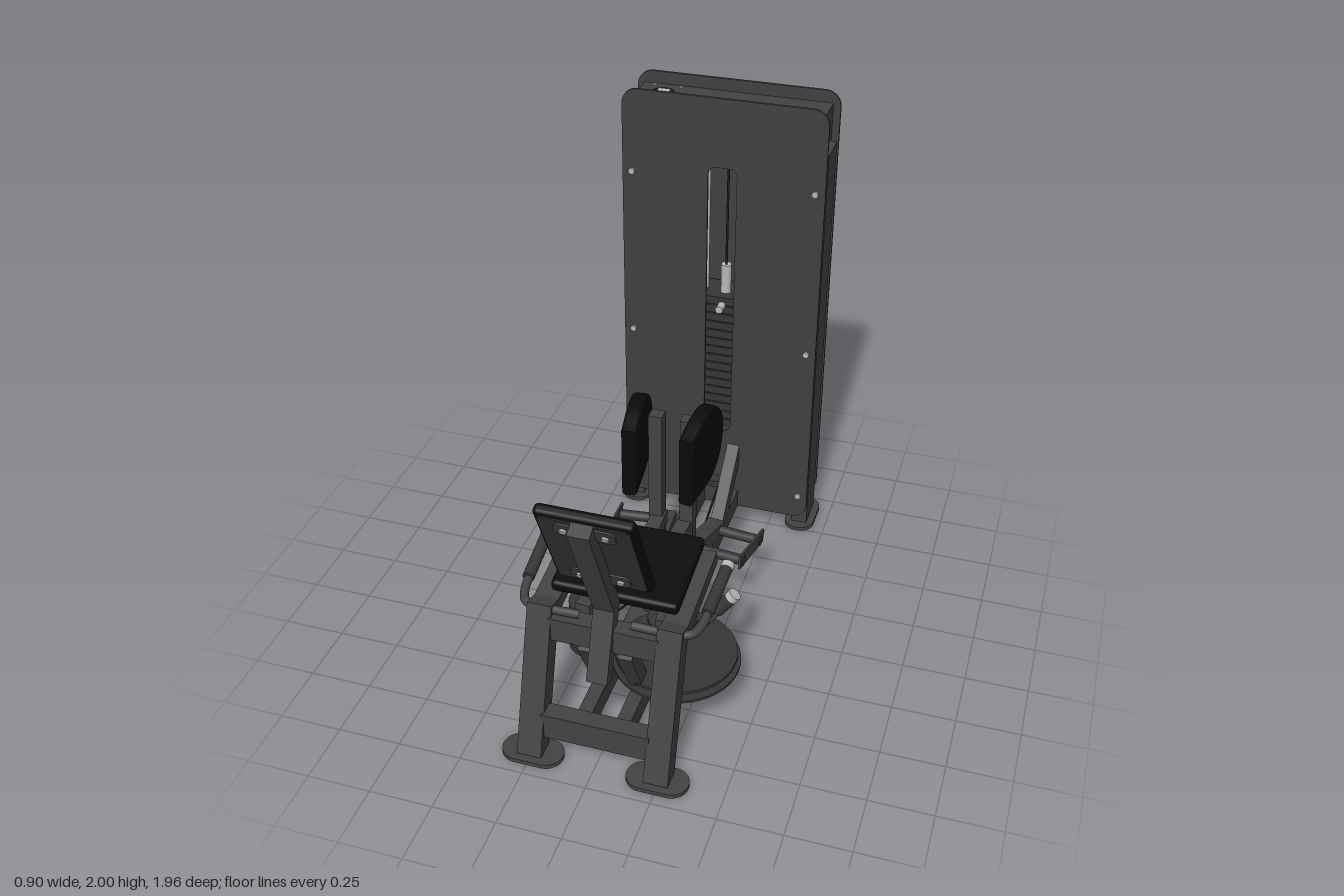
import * as THREE from 'three';
import { RoundedBoxGeometry } from 'three/addons/geometries/RoundedBoxGeometry.js';

const mat = (name, color) => Object.assign(new THREE.MeshStandardMaterial({ color }), { name });
const V = (a) => new THREE.Vector3(...a);

export function createModel() {
  const frame = mat('frame grey', 0x434343);
  const shroud = mat('shroud grey', 0x404040);
  const vinyl = mat('black vinyl', 0x0b0b0b);
  const steel = mat('bright steel', 0xb8b8b8);
  const iron = mat('dark iron', 0x363636);
  const rubber = mat('cable black', 0x1c1c1c);
  const model = new THREE.Group();
  model.name = 'hipMachine';

  const add = (name, geo, m, pos = [0, 0, 0], parent = model) => {
    const mesh = new THREE.Mesh(geo, m);
    mesh.name = name;
    mesh.position.set(...pos);
    parent.add(mesh);
    return mesh;
  };
  const box = (name, m, size, pos, parent) => add(name, new THREE.BoxGeometry(...size), m, pos, parent);
  // square tube between two points
  const bar = (name, a, b, w, h, m = frame) => {
    const A = V(a), B = V(b);
    const mesh = box(name, m, [w, h, A.distanceTo(B)], A.clone().add(B).multiplyScalar(0.5).toArray());
    mesh.lookAt(B);
    return mesh;
  };
  // round rod between two points
  const rod = (name, a, b, r, m = frame, parent = model) => {
    const A = V(a), B = V(b);
    const mesh = add(name, new THREE.CylinderGeometry(r, r, A.distanceTo(B), 20), m,
      A.clone().add(B).multiplyScalar(0.5).toArray(), parent);
    mesh.quaternion.setFromUnitVectors(new THREE.Vector3(0, 1, 0), B.sub(A).normalize());
    return mesh;
  };
  const disc = (name, x, y, z, r, h, m = iron) => add(name, new THREE.CylinderGeometry(r, r, h, 40), m, [x, y, z]);
  const roundRect = (x0, y0, x1, y1, r, S = THREE.Shape) => {
    const s = new S();
    s.absarc(x1 - r, y0 + r, r, -Math.PI / 2, 0);
    s.absarc(x1 - r, y1 - r, r, 0, Math.PI / 2);
    s.absarc(x0 + r, y1 - r, r, Math.PI / 2, Math.PI);
    s.absarc(x0 + r, y0 + r, r, Math.PI, Math.PI * 1.5);
    s.closePath();
    return s;
  };
  const extrude = (shape, depth) => new THREE.ExtrudeGeometry(shape, { depth, bevelEnabled: false, curveSegments: 12 });
  // flat foot with round ends, lying on the floor
  const foot = (name, x, z, w, d) => {
    const r = Math.min(w, d) / 2 - 0.001;
    add(name, extrude(roundRect(-w / 2, -d / 2, w / 2, d / 2, r), 0.018).rotateX(-Math.PI / 2), frame, [x, 0, z]);
  };

  // weight tower: shrouds, columns and cap
  const front = roundRect(-0.42, 0.065, 0.42, 2, 0.065);
  front.holes.push(roundRect(-0.06, 0.46, 0.06, 1.71, 0.035, THREE.Path));
  add('frontShroud', extrude(front, 0.012), shroud, [0, 0, -0.764]);
  add('rearShroud', extrude(roundRect(-0.42, 0.065, 0.42, 2, 0.065), 0.012), shroud, [0, 0, -0.973]);
  box('towerCap', frame, [0.78, 0.15, 0.19], [0, 1.875, -0.866]);
  disc('capOpening', -0.285, 1.951, -0.87, 0.048, 0.004, rubber);
  box('capPulley', steel, [0.05, 0.004, 0.06], [-0.285, 1.954, -0.87]);
  for (const [x, z] of [[-0.34, -0.94], [-0.34, -0.8], [-0.23, -0.94], [-0.23, -0.8]])
    disc('capBolt', x, 1.951, z, 0.008, 0.006, steel);
  box('towerBase', frame, [0.72, 0.09, 0.15], [0, 0.105, -0.855]);

  // weight stack
  for (let i = 0; i < 16; i++)
    box('weightPlate', iron, [0.26, 0.035, 0.155], [0, 0.48 + i * 0.0405, -0.866]);
  rod('stackStem', [0, 1.1, -0.85], [0, 1.235, -0.85], 0.022, steel);
  rod('selectorPin', [0, 1.07, -0.79], [0, 1.07, -0.742], 0.016, steel);
  rod('liftCable', [0, 1.2, -0.85], [0, 1.82, -0.85], 0.005, rubber);

  for (const s of [-1, 1]) {
    box('towerColumn', frame, [0.07, 1.79, 0.15], [s * 0.385, 0.91, -0.855]);
    foot('towerFoot', s * 0.385, -0.855, 0.13, 0.24);
    rod('guideRod', [s * 0.09, 0.15, -0.866], [s * 0.09, 1.8, -0.866], 0.011, steel);
    rod('stackSupport', [s * 0.09, 0.15, -0.866], [s * 0.09, 0.46, -0.866], 0.025, iron);
    for (const y of [0.18, 0.915, 1.65]) {
      rod('shroudBolt', [s * 0.38, y, -0.78], [s * 0.38, y, -0.743], 0.013, steel);
      rod('shroudBolt', [s * 0.38, y, -0.945], [s * 0.38, y, -0.985], 0.013, steel);
    }

    // base rails, front legs and seat rails
    box('baseRail', frame, [0.055, 0.09, 1.63], [s * 0.077, 0.105, 0.045]);
    foot('frontFoot', s * 0.245, 0.892, 0.24, 0.135);
    bar('frontLeg', [s * 0.248, 0.01, 0.892], [s * 0.248, 0.6, 0.71], 0.095, 0.085);
    bar('seatRail', [s * 0.248, 0.55, 0.74], [s * 0.248, 0.615, 0.3], 0.095, 0.06);
    bar('rearBrace', [s * 0.077, 0.45, 0.73], [s * 0.077, 0.13, 0.56], 0.055, 0.06);

    // side handles
    const path = new THREE.CatmullRomCurve3([[0.355, 0.645, 0.38], [0.347, 0.61, 0.56], [0.34, 0.59, 0.66],
      [0.315, 0.585, 0.715], [0.26, 0.585, 0.73], [0.1, 0.585, 0.73]].map(([x, y, z]) => new THREE.Vector3(s * x, y, z)));
    add('handleTube', new THREE.TubeGeometry(path, 40, 0.017, 12), frame);
    rod('handGrip', [s * 0.355, 0.642, 0.39], [s * 0.346, 0.605, 0.61], 0.023, iron);
    rod('gripCollar', [s * 0.356, 0.647, 0.365], [s * 0.355, 0.642, 0.392], 0.025, steel);

    // swinging arm and pivot
    const arm = [[0.06, -0.115], [0.045, 0.17], [0.135, 0.34], [0.16, 0.55]];
    for (let i = 0; i < 3; i++)
      bar('swingArm', [s * arm[i][0], 0.44, arm[i][1]], [s * arm[i + 1][0], 0.44, arm[i + 1][1]], 0.06, 0.06);
    box('armPost', frame, [0.055, 0.65, 0.055], [s * 0.065, 0.625, -0.088]);
    rod('pivotShaft', [s * 0.16, 0.1, 0.43], [s * 0.16, 0.58, 0.43], 0.02);
    disc('pivotHub', s * 0.16, 0.52, 0.43, 0.085, 0.025);
    disc('upperCam', s * 0.16, 0.385, 0.43, 0.095, 0.02);
    disc('lowerCam', s * 0.16, 0.355, 0.43, 0.07, 0.02);
    disc('pivotBearing', s * 0.16, 0.27, 0.43, 0.04, 0.07, frame);
    disc('lowerBearing', s * 0.16, 0.15, 0.43, 0.035, 0.05, frame);
    for (const dz of [-0.06, 0.06]) disc('hubBolt', s * 0.16, 0.55, 0.43 + dz, 0.015, 0.05, steel);
    bar('pivotBracket', [s * 0.06, 0.13, 0.43], [s * 0.2, 0.13, 0.43], 0.08, 0.04);

    // thigh pad, rounded toward the tower
    const d = new THREE.Shape();
    d.moveTo(0.11, 0.7);
    d.lineTo(-0.04, 0.7);
    d.bezierCurveTo(-0.14, 0.7, -0.19, 0.79, -0.19, 0.875);
    d.bezierCurveTo(-0.19, 0.96, -0.12, 1.02, -0.05, 1.02);
    d.bezierCurveTo(0.02, 1.02, 0.06, 0.995, 0.11, 0.98);
    d.closePath();
    const padGeo = new THREE.ExtrudeGeometry(d, { depth: 0.036, bevelSize: 0.01, bevelThickness: 0.012, bevelSegments: 3, curveSegments: 14 });
    padGeo.translate(0.04, 0, -0.018).rotateY(-Math.PI / 2);
    add('thighPad', padGeo, vinyl, [s * 0.131, 0, -0.04]).rotation.y = -s * 0.11;

    // foot peg assembly
    bar('pegBar', [s * 0.06, 0.305, -0.03], [s * 0.108, 0.225, -0.38], 0.07, 0.06);
    rod('footPeg', [s * 0.09, 0.235, -0.345], [s * 0.32, 0.235, -0.32], 0.022, iron);
    rod('footPeg', [s * 0.08, 0.28, -0.14], [s * 0.3, 0.28, -0.115], 0.022, iron);
    bar('pegPlate', [s * 0.315, 0.232, -0.365], [s * 0.288, 0.29, -0.085], 0.01, 0.06);
    rod('pegBolt', [s * 0.03, 0.25, -0.25], [s * 0.06, 0.25, -0.25], 0.015, steel);
  }

  // cross members and tower brace
  box('frontCrossbar', frame, [0.42, 0.11, 0.07], [0, 0.145, 0.852]);
  box('upperCrossbar', frame, [0.42, 0.1, 0.07], [0, 0.52, 0.735]);
  box('seatCrossbar', frame, [0.42, 0.05, 0.14], [0, 0.585, 0.42]);
  box('middleCrossbar', frame, [0.12, 0.05, 0.2], [0, 0.125, 0.1]);
  bar('towerBrace', [0.077, 0.38, -0.79], [0.077, 0.12, -0.51], 0.055, 0.075);

  // seat
  const seat = add('seatPad', new RoundedBoxGeometry(0.49, 0.05, 0.365, 4, 0.018), vinyl, [0, 0.643, 0.467]);
  seat.rotation.x = 0.165;

  // backrest: bent post, pad and mounting plates
  bar('lowerPost', [0, 0.37, 0.82], [0, 0.66, 0.715], 0.08, 0.06);
  bar('backPost', [0, 0.64, 0.715], [0, 1.155, 0.95], 0.08, 0.06);
  const back = new THREE.Group();
  back.name = 'backrest';
  back.position.set(0, 0.975, 0.813);
  back.rotation.x = 0.445;
  model.add(back);
  add('backPad', new RoundedBoxGeometry(0.36, 0.475, 0.046, 4, 0.018), vinyl, [0, 0, 0], back);
  add('backBoard', extrude(roundRect(-0.165, -0.22, 0.165, 0.22, 0.02), 0.008), iron, [0, 0, 0.019], back);
  for (const y of [-0.165, 0.165]) {
    add('padMount', extrude(roundRect(-0.11, -0.037, 0.11, 0.037, 0.025), 0.008), frame, [0, y, 0.026], back);
    for (const x of [-0.075, 0.075]) rod('mountBolt', [x, y, 0.03], [x, y, 0.042], 0.013, steel, back);
  }

  // range selector disc, lever and pulleys
  disc('selectorDisc', 0.175, 0.222, 0.425, 0.238, 0.012);
  disc('selectorRim', 0.175, 0.188, 0.425, 0.25, 0.01);
  disc('leftDisc', -0.16, 0.2, 0.43, 0.1, 0.03);
  const lever = new THREE.CatmullRomCurve3([[0.17, 0.27, 0.43], [0.22, 0.28, 0.36], [0.28, 0.33, 0.32], [0.33, 0.4, 0.3]].map(V));
  add('selectorLever', new THREE.TubeGeometry(lever, 24, 0.017, 12), frame);
  rod('leverGrip', [0.3, 0.36, 0.305], [0.355, 0.43, 0.295], 0.027, iron);
  rod('leverKnob', [0.352, 0.426, 0.296], [0.368, 0.448, 0.293], 0.027, steel);
  disc('middlePulley', 0, 0.18, 0.1, 0.085, 0.025);
  disc('pulleyBolt', 0, 0.19, 0.1, 0.015, 0.03, steel);
  disc('towerPulley', 0.0, 0.2, -0.74, 0.04, 0.03);
  rod('cable', [0.02, 0.18, -0.75], [0.08, 0.18, 0.1], 0.005, rubber);
  rod('cable', [0.08, 0.18, 0.1], [0.1, 0.19, 0.4], 0.005, rubber);
  rod('cable', [-0.08, 0.18, 0.1], [-0.2, 0.19, 0.4], 0.005, rubber);
  return model;
}
